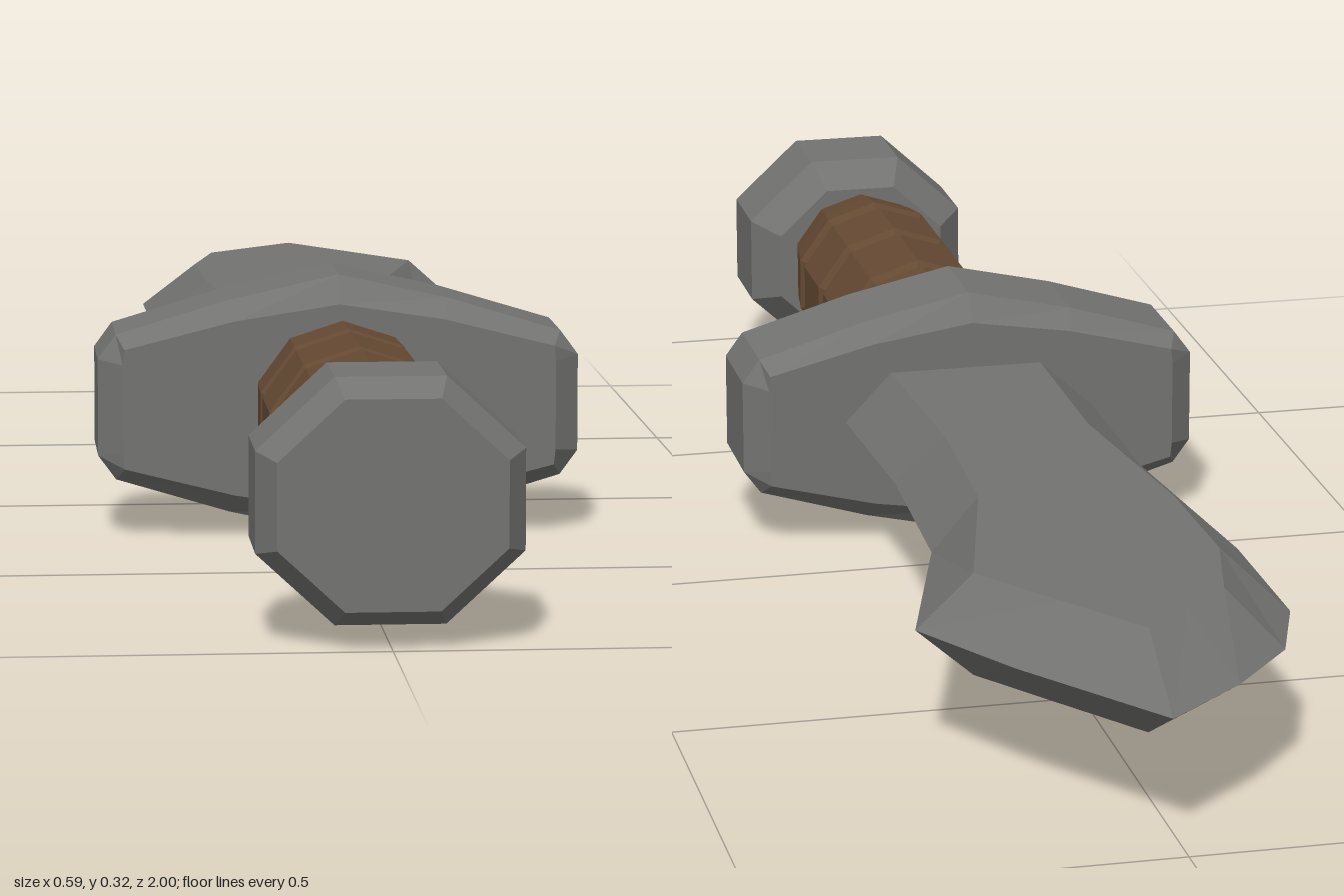
import * as THREE from 'three';

const steel = new THREE.MeshStandardMaterial({ color: 0x737371, flatShading: true });
steel.name = 'steel';
const leather = new THREE.MeshStandardMaterial({ color: 0x644932, flatShading: true });
leather.name = 'leather';

// Joins counter-clockwise rings of [x, y] points, stacked along z, and caps both ends.
function loft(rings) {
  const pos = [];
  const put = (ring, i) => pos.push(...ring.pts[i], ring.z);
  const n = rings[0].pts.length;
  for (let r = 0; r < rings.length - 1; r++) {
    const a = rings[r], b = rings[r + 1];
    for (let i = 0; i < n; i++) {
      const j = (i + 1) % n;
      put(a, i); put(a, j); put(b, j);
      put(a, i); put(b, j); put(b, i);
    }
  }
  const cap = (ring, flip) => {
    const outline = ring.pts.map(([x, y]) => new THREE.Vector2(x, y));
    for (const [i, j, k] of THREE.ShapeUtils.triangulateShape(outline, [])) {
      for (const v of flip ? [k, j, i] : [i, j, k]) put(ring, v);
    }
  };
  cap(rings[0], true);
  cap(rings[rings.length - 1], false);
  const geo = new THREE.BufferGeometry();
  geo.setAttribute('position', new THREE.Float32BufferAttribute(pos, 3));
  geo.computeVertexNormals();
  return geo;
}

// Regular polygon ring with separate half-width and half-height
function polygon(sides, rx, ry, start) {
  return Array.from({ length: sides }, (_, i) => {
    const a = start + (i / sides) * Math.PI * 2;
    return [Math.cos(a) * rx, Math.sin(a) * ry];
  });
}

// Mirrors a top-right quarter outline (right to top centre) into a full ring
function mirrorQuarter(quarter) {
  const left = quarter.slice(0, -1).reverse().map(([x, y]) => [-x, y]);
  const top = [...quarter, ...left];
  const bottom = top.map(([x, y]) => [-x, -y]).filter(([x, y]) => Math.abs(y) > 0);
  return [...top, ...bottom];
}

export function createModel() {
  const model = new THREE.Group();
  const add = (name, geo, material, y) => {
    const mesh = new THREE.Mesh(geo, material);
    mesh.name = name;
    mesh.position.y = y;
    model.add(mesh);
  };

  // Blade: broad flats with bevels running to a sharp edge
  const edge = [
    [0.17, -0.15], [0.155, 0.15], [0.165, 0.41], [0.24, 0.665], [0.155, 0.81], [0.02, 1],
    [-0.08, 0.915], [-0.16, 0.82], [-0.2, 0.7], [-0.197, 0.48], [-0.16, 0.15], [-0.16, -0.15],
  ];
  const flat = [
    [0.11, -0.15], [0.095, 0.17], [0.105, 0.4], [0.17, 0.66], [0.094, 0.77], [0.017, 0.88],
    [-0.042, 0.825], [-0.1, 0.77], [-0.13, 0.64], [-0.125, 0.45], [-0.09, 0.16], [-0.09, -0.15],
  ];
  const blade = loft([
    { pts: flat, z: -0.063 }, { pts: edge, z: 0 }, { pts: flat, z: 0.063 },
  ]);
  blade.rotateX(-Math.PI / 2);
  add('blade', blade, steel, 0.168);

  // Crossguard: pointed block with chamfered faces
  const rim = mirrorQuarter([[0.297, 0.06], [0.275, 0.09], [0.135, 0.132], [0, 0.162]]);
  const face = mirrorQuarter([[0.267, 0.055], [0.265, 0.074], [0.13, 0.108], [0, 0.128]]);
  add('guard', loft([
    { pts: face, z: 0.095 }, { pts: rim, z: 0.12 }, { pts: rim, z: 0.24 }, { pts: face, z: 0.265 },
  ]), steel, 0.1625);

  // Grip: ten-sided handle with three grooves
  const gripProfile = [[0.25, 0.1], [0.3, 0.109]];
  for (const z of [0.41, 0.565, 0.695]) {
    gripProfile.push([z - 0.016, 0.112], [z - 0.009, 0.104], [z + 0.009, 0.104], [z + 0.016, 0.112]);
  }
  gripProfile.push([0.76, 0.105], [0.83, 0.092]);
  add('grip', loft(gripProfile.map(([z, r]) => (
    { pts: polygon(10, r, r, Math.PI / 2), z }
  ))), leather, 0.166);

  // Pommel: chamfered octagonal cap
  const pommelProfile = [[0.81, 0.115], [0.85, 0.15], [0.965, 0.15], [1, 0.128]];
  add('pommel', loft(pommelProfile.map(([z, apothem]) => {
    const r = apothem / Math.cos(Math.PI / 8);
    return { pts: polygon(8, r, r * 0.925, Math.PI / 8), z };
  })), steel, 0.163);

  return model;
}
